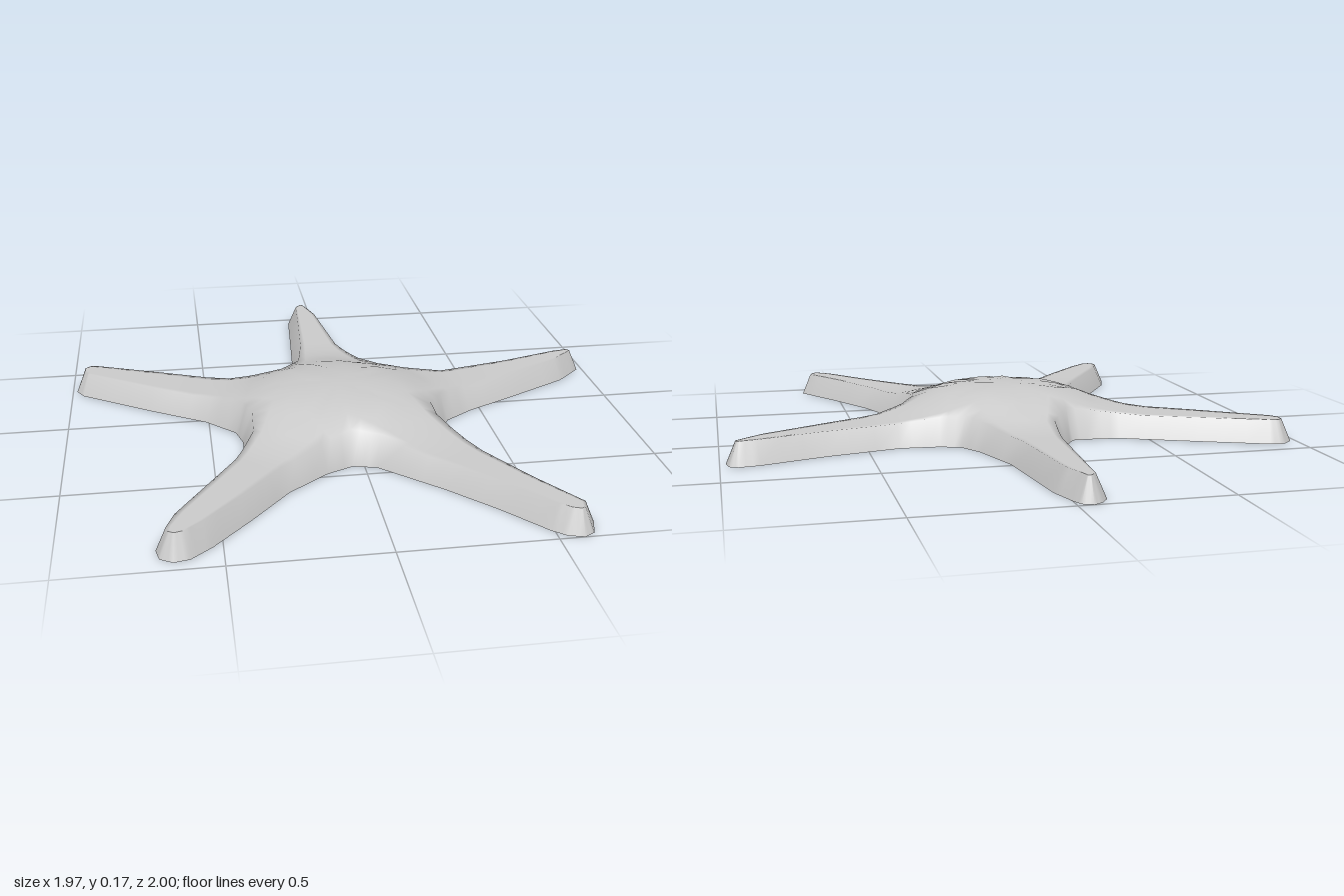
import * as THREE from 'three';
import { mergeVertices } from 'three/addons/utils/BufferGeometryUtils.js';

// Ground outline as x, z pairs: each row is one arm, from valley, up one side, tip, and back
const OUTLINE = [
  -0.23, -0.20, -0.17, -0.30, -0.14, -0.49, -0.12, -0.75, -0.105, -0.95, -0.08, -0.985, -0.05, -1.0, -0.015, -0.985, 0, -0.95, 0.03, -0.85, 0.07, -0.49, 0.13, -0.30,
  0.18, -0.215, 0.25, -0.19, 0.39, -0.18, 0.65, -0.24, 0.87, -0.31, 0.94, -0.32, 0.97, -0.305, 0.98, -0.26, 0.88, -0.165, 0.66, -0.045, 0.46, 0.06, 0.36, 0.13,
  0.31, 0.21, 0.315, 0.28, 0.41, 0.53, 0.52, 0.73, 0.635, 0.92, 0.615, 0.98, 0.58, 1.0, 0.53, 0.985, 0.49, 0.95, 0.37, 0.80, 0.23, 0.645, 0.04, 0.46,
  -0.04, 0.44, -0.13, 0.48, -0.27, 0.59, -0.40, 0.745, -0.53, 0.89, -0.60, 0.95, -0.65, 0.96, -0.69, 0.935, -0.70, 0.885, -0.67, 0.80, -0.465, 0.47, -0.395, 0.31,
  -0.39, 0.20, -0.41, 0.12, -0.51, 0.015, -0.71, -0.115, -0.96, -0.29, -0.985, -0.335, -0.98, -0.39, -0.94, -0.425, -0.89, -0.42, -0.65, -0.32, -0.40, -0.21, -0.31, -0.20,
];
const PER_ARM = 12, HALF = 6, ARMS = 5;
const RIM_INSET = 0.035; // how far the sloping side wall leans inward
const STEPS = 4;         // strips from the rim to the ridge
const SUB = 3;           // extra sections between outline points
const CENTRE = new THREE.Vector2(-0.04, 0.1);

// Height of the upper skin by distance from the centre: dome falling to level arms
const DOME = [[0, 0.166], [0.1, 0.164], [0.22, 0.152], [0.28, 0.133], [0.33, 0.112], [0.4, 0.095], [0.5, 0.08], [2, 0.08]];
function skinHeight(p) {
  const r = p.distanceTo(CENTRE);
  const i = DOME.findIndex(([d]) => d >= r);
  if (i <= 0) return DOME[0][1];
  const [[r0, y0], [r1, y1]] = [DOME[i - 1], DOME[i]];
  return y0 + (y1 - y0) * (r - r0) / (r1 - r0);
}

function createSkin() {
  const edge = [];
  for (let i = 0; i < OUTLINE.length; i += 2) edge.push(new THREE.Vector2(OUTLINE[i], OUTLINE[i + 1]));
  const n = edge.length;

  // Top of the side wall, moved inward along the outline's normal
  const rim = edge.map((p, i) => {
    const a = p.clone().sub(edge[(i + n - 1) % n]).normalize();
    const t = edge[(i + 1) % n].clone().sub(p).normalize().add(a).normalize();
    return new THREE.Vector2(p.x - t.y * RIM_INSET, p.y + t.x * RIM_INSET);
  });

  // One cross-section: edge, rim, ridge, rim, edge
  const section = (l, r, ridge) => {
    const row = [edge[l]];
    for (let j = 0; j <= STEPS; j++) row.push(rim[l].clone().lerp(ridge, j / STEPS));
    for (let j = STEPS - 1; j >= 0; j--) row.push(rim[r].clone().lerp(ridge, j / STEPS));
    row.push(edge[r]);
    return row;
  };

  const positions = [], index = [];
  const width = 2 * STEPS + 3;
  for (let arm = 0; arm < ARMS; arm++) {
    // Sections run from the body centre to the arm tip
    const rows = [];
    for (let k = 0; k <= HALF; k++) {
      const l = arm * PER_ARM + k, r = ((arm + 1) * PER_ARM - k) % n;
      const ridge = k === 0 ? CENTRE : rim[l].clone().lerp(rim[r], 0.5);
      rows.push(section(l, r, ridge));
    }
    const start = positions.length / 3;
    const count = HALF * SUB + 1;
    for (let s = 0; s < count; s++) {
      const k = Math.min(Math.floor(s / SUB), HALF - 1), f = s / SUB - k;
      for (let j = 0; j < width; j++) {
        const p = rows[k][j].clone().lerp(rows[k + 1][j], f);
        const onGround = j === 0 || j === width - 1;
        positions.push(p.x, onGround ? 0 : skinHeight(p), p.y);
      }
    }
    for (let s = 0; s < count - 1; s++) {
      for (let j = 0; j < width - 1; j++) {
        const a = start + s * width + j, b = a + width;
        index.push(a, a + 1, b, a + 1, b + 1, b);
      }
    }
  }

  // Weld the seams between arms so the shading is continuous
  let geometry = new THREE.BufferGeometry();
  geometry.setAttribute('position', new THREE.Float32BufferAttribute(positions, 3));
  geometry.setIndex(index);
  geometry = mergeVertices(geometry, 1e-4);
  geometry.computeVertexNormals();
  return geometry;
}

export function createModel() {
  const group = new THREE.Group();
  group.name = 'starfish';
  // Hollow shell, open underneath
  const skin = new THREE.Mesh(
    createSkin(),
    new THREE.MeshStandardMaterial({ color: 0xcccccc, side: THREE.DoubleSide }),
  );
  skin.name = 'starfishBody';
  group.add(skin);
  return group;
}
